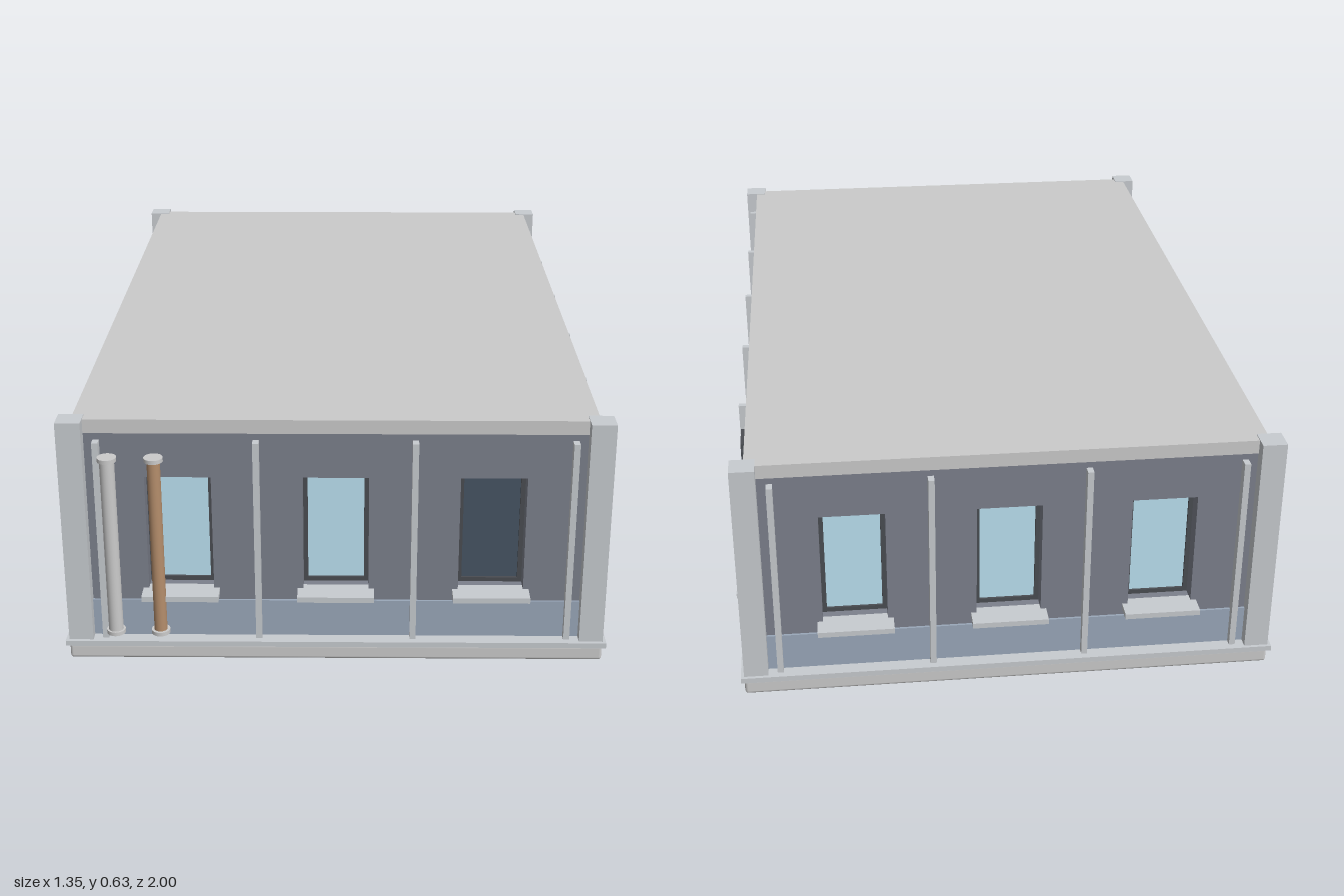
import * as THREE from 'three';
import { RoundedBoxGeometry } from 'three/addons/geometries/RoundedBoxGeometry.js';

const mat = (color) => new THREE.MeshStandardMaterial({ color });
const M = {
  grey: mat(0xcccccc), frame: mat(0xc8ccd0), wall: mat(0x7c808c), skirt: mat(0x9aa8ba),
  glass: mat(0xbce2f2), darkGlass: mat(0x465464), trim: mat(0x4a4d52), brown: mat(0xb58e6c),
};
const HX = 0.66, HZ = 0.977, TOP = 0.632;   // half width, half depth, height
const INSET = 0.033, THICK = 0.055;         // wall setback from the posts, wall thickness
const WIN = { w: 0.16, y0: 0.18, y1: 0.48 };

function add(parent, name, geometry, material, x = 0, y = 0, z = 0) {
  const mesh = new THREE.Mesh(geometry, material);
  mesh.name = name;
  mesh.position.set(x, y, z);
  parent.add(mesh);
  return mesh;
}

// Box given by its centre in x, and by its ranges in y and z
function slab(parent, name, material, x, w, y0, y1, z0, z1) {
  return add(parent, name, new THREE.BoxGeometry(w, y1 - y0, z1 - z0), material,
    x, (y0 + y1) / 2, (z0 + z1) / 2);
}

function rect(T, x, w, y0, y1) {
  const r = new T();
  r.moveTo(x - w / 2, y0);
  r.lineTo(x + w / 2, y0);
  r.lineTo(x + w / 2, y1);
  r.lineTo(x - w / 2, y1);
  r.closePath();
  return r;
}

function extrude(shape, depth) {
  return new THREE.ExtrudeGeometry(shape, { depth, bevelEnabled: false });
}

// Recessed window with frame and projecting sill; z = 0 is the wall face
function addWindow(parent, x, dark) {
  const win = new THREE.Group();
  win.name = 'window';
  win.position.x = x;
  parent.add(win);
  const { w, y0, y1 } = WIN;
  slab(win, 'windowPane', dark ? M.darkGlass : M.glass, 0, w, y0, y1, -THICK, -0.048);
  const border = rect(THREE.Shape, 0, w, y0, y1);
  border.holes.push(rect(THREE.Path, 0, w - 0.022, y0 + 0.011, y1 - 0.011));
  add(win, 'windowFrame', extrude(border, 0.008), M.trim, 0, 0, -0.05);
  slab(win, 'windowSill', M.frame, 0, 0.188, 0.167, 0.181, -0.02, INSET + 0.015);
}

// One outer wall facing +z, with evenly spaced bays divided by thin mullions
function facade(name, half, bays, pitch, darkBay) {
  const g = new THREE.Group();
  g.name = name;
  const shape = rect(THREE.Shape, 0, 2 * (half - 0.036), 0.05, 0.6);
  for (let i = 0; i < bays; i++) {
    const x = (i - (bays - 1) / 2) * pitch;
    shape.holes.push(rect(THREE.Path, x, WIN.w, WIN.y0, WIN.y1));
    addWindow(g, x, i === darkBay);
  }
  add(g, 'wall', extrude(shape, THICK), M.wall, 0, 0, -THICK);
  slab(g, 'skirtPanel', M.skirt, 0, 2 * (half - 0.05), 0.05, 0.15, -0.01, 0.006);
  for (let i = 0; i <= bays; i++) {
    slab(g, 'mullion', M.frame, (i - bays / 2) * pitch, 0.015, 0.05, 0.578, -0.01, 0.024);
  }
  return g;
}

// Vertical pipe with a flange at each end
function pipe(parent, name, x, radius, material) {
  const g = new THREE.Group();
  g.name = name;
  g.position.set(x, 0, HZ + 0.01);
  parent.add(g);
  add(g, 'pipeTube', new THREE.CylinderGeometry(radius, radius, 0.46, 20), material, 0, 0.316, 0);
  for (const y of [0.086, 0.546]) {
    add(g, 'pipeFlange', new THREE.CylinderGeometry(0.023, 0.023, 0.01, 20), M.grey, 0, y, 0);
  }
}

export function createModel() {
  const model = new THREE.Group();
  model.name = 'modularCabin';
  const body = new THREE.Group();
  body.name = 'cabinBody';
  body.position.z = -0.01;
  model.add(body);

  // Floor and base ledge
  add(body, 'floorBase', new RoundedBoxGeometry(2 * HX, 0.04, 2 * HZ, 2, 0.008), M.grey, 0, 0.02, 0);
  slab(body, 'baseLedge', M.frame, 0, 2 * HX + 0.016, 0.039, 0.053, -HZ - 0.008, HZ + 0.008);

  // Roof with its perimeter beam, a little below the post tops
  slab(body, 'roof', M.grey, 0, 2 * (HX - INSET), 0.595, TOP - 0.002, -HZ + INSET - 0.003, HZ - INSET + 0.003);

  // Corner posts
  for (const sx of [-1, 1]) {
    for (const sz of [-1, 1]) {
      add(body, 'cornerPost', new THREE.BoxGeometry(0.06, TOP - 0.05, 0.06), M.frame,
        sx * (HX - 0.03), (TOP + 0.05) / 2, sz * (HZ - 0.03));
    }
  }

  // Four walls: name, half length, distance out, bays, pitch, dark bay, turn
  const sides = [
    ['frontWall', HX, HZ, 3, 0.38, 2, 0],
    ['backWall', HX, HZ, 3, 0.38, -1, Math.PI],
    ['leftWall', HZ, HX, 5, 0.354, 1, Math.PI / 2],
    ['rightWall', HZ, HX, 5, 0.354, 0, -Math.PI / 2],
  ];
  for (const [name, half, out, bays, pitch, dark, turn] of sides) {
    const wall = facade(name, half, bays, pitch, dark);
    wall.rotation.y = turn;
    wall.position.set(Math.sin(turn) * (out - INSET), 0, Math.cos(turn) * (out - INSET));
    body.add(wall);

    // Louvred vent beside the last mullion
    if (name === 'leftWall') {
      for (let i = 0; i < 5; i++) {
        const y = 0.416 + i * 0.0225;
        slab(wall, 'ventLouvre', M.trim, 0.567, 0.112, y - 0.006, y + 0.006, -0.005, 0.022);
      }
    }
  }

  // Service pipes on the front
  pipe(body, 'drainPipe', -0.54, 0.018, M.grey);
  pipe(body, 'copperPipe', -0.43, 0.016, M.brown);

  return model;
}
